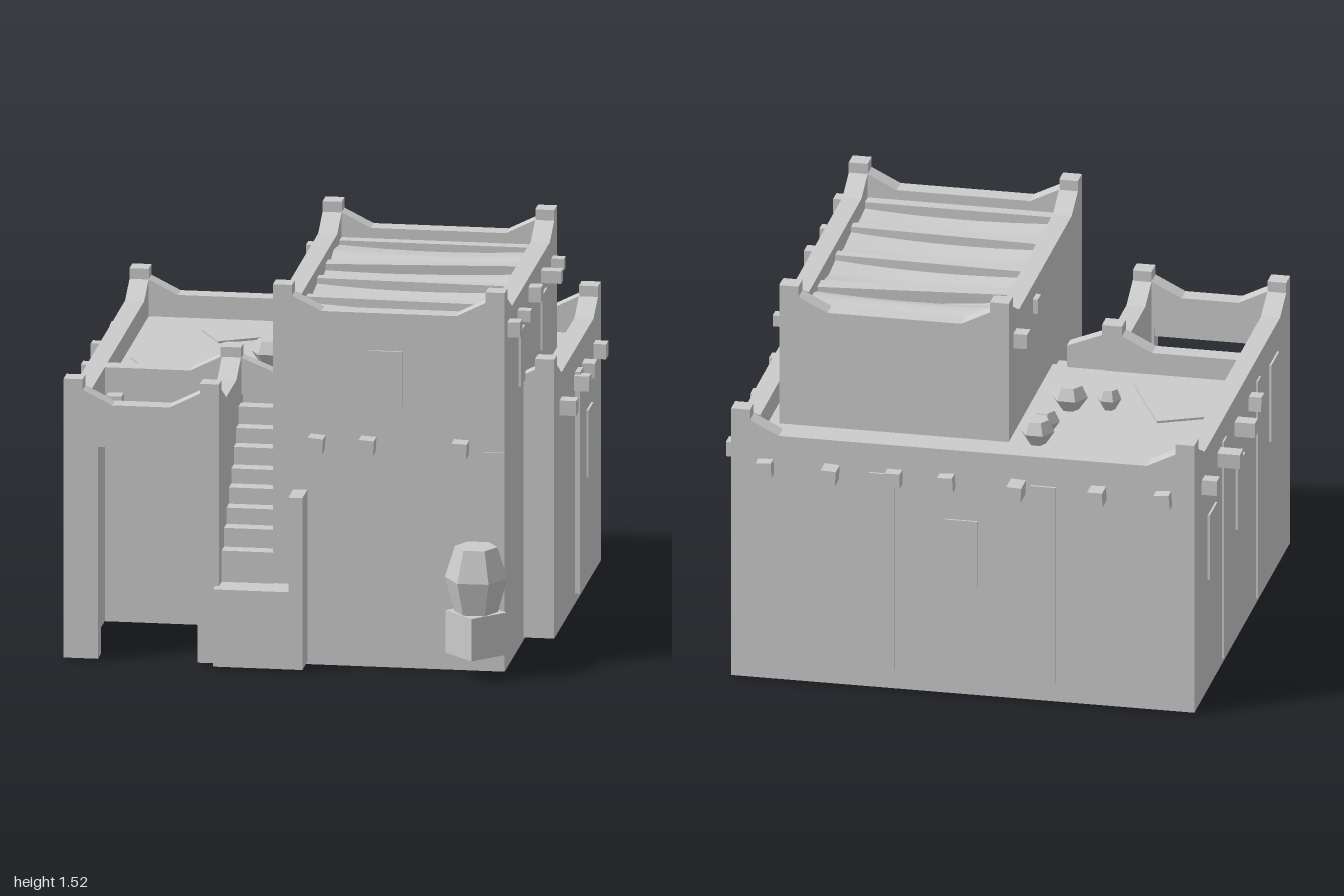
import * as THREE from 'three';

export function createModel() {
  const model = new THREE.Group();
  // Walls are open at the base, so both sides show
  const clay = new THREE.MeshStandardMaterial({ color: 0xcccccc, side: THREE.DoubleSide });
  clay.name = 'pale clay';

  const add = (name, geo) => {
    const mesh = new THREE.Mesh(geo, clay);
    mesh.name = name;
    model.add(mesh);
    return mesh;
  };
  // Box given by its minimum and maximum corners
  const box = (name, x0, y0, z0, x1, y1, z1) => {
    const m = add(name, new THREE.BoxGeometry(x1 - x0, y1 - y0, z1 - z0));
    m.position.set((x0 + x1) / 2, (y0 + y1) / 2, (z0 + z1) / 2);
    return m;
  };
  // Drop the faces resting on the ground, leaving an open base
  const openBase = mesh => {
    const g = mesh.geometry.index ? mesh.geometry.toNonIndexed() : mesh.geometry;
    g.computeBoundingBox();
    const p = g.attributes.position, low = g.boundingBox.min.y + 1e-4, keep = [];
    for (let i = 0; i < p.count; i += 3) {
      if (Math.max(p.getY(i), p.getY(i + 1), p.getY(i + 2)) > low) keep.push(i, i + 1, i + 2);
    }
    g.clearGroups();
    g.setIndex(keep);
    mesh.geometry = g;
  };
  // Sharp facets
  const faceted = geo => {
    const g = geo.toNonIndexed();
    g.computeVertexNormals();
    return g;
  };

  // Wall from a to b along an axis, with horned ends and an optional doorway
  const T = 0.075;
  function wall(name, axis, a, b, outerMax, y0, h, { start = true, door } = {}) {
    const s = new THREE.Shape();
    s.moveTo(a, y0);
    if (door) {
      s.lineTo(door[0], y0); s.lineTo(door[0], door[2]);
      s.lineTo(door[1], door[2]); s.lineTo(door[1], y0);
    }
    s.lineTo(b, y0);
    s.lineTo(b, h + 0.1); s.lineTo(b - 0.07, h + 0.1);
    s.lineTo(b - 0.07, h + 0.06); s.lineTo(b - 0.19, h);
    if (start) {
      s.lineTo(a + 0.19, h); s.lineTo(a + 0.07, h + 0.06);
      s.lineTo(a + 0.07, h + 0.1); s.lineTo(a, h + 0.1);
    } else s.lineTo(a, h);
    const m = add(name, new THREE.ExtrudeGeometry(s, { depth: T, bevelEnabled: false }));
    openBase(m);
    if (axis === 'z') {
      m.rotation.y = -Math.PI / 2;
      m.position.x = outerMax;
    } else m.position.z = outerMax - T;
  }

  // Lower storey and courtyard walls
  const H = 1.04, B = 0.02;
  wall('backWall', 'x', -0.91, 0.93, -0.83, B, H);
  wall('leftWall', 'z', -0.905, 0.87, -0.835, B, H);
  wall('rightWall', 'z', -0.905, 0.3, 0.93, B, H);
  wall('frontRightWall', 'x', 0.7, 0.93, 0.3, B, H, { start: false });
  wall('courtyardBackWall', 'x', -0.84, -0.31, 0.3, B, H, { start: false });
  wall('courtyardFrontWall', 'x', -0.91, -0.305, 0.87, B, H, { door: [-0.775, -0.385, 0.905] });
  wall('stairSideWall', 'z', 0.23, 0.87, -0.3, B, H);
  box('doorLintel', -0.78, 0.87, 0.8, -0.38, 0.906, 0.865);
  box('lowerRoof', -0.85, 0.9, -0.85, 0.87, 0.95, 0.25);
  box('courtyardDoor', -0.75, 0.25, 0.3, -0.44, 0.81, 0.309);
  // Parapet ramp beside the stair head
  const ramp = new THREE.Shape([[-0.31, 0.95], [-0.16, 0.95], [-0.16, 1.04], [-0.31, 1.1]]
    .map(p => new THREE.Vector2(...p)));
  add('stairHeadRamp', new THREE.ExtrudeGeometry(ramp, { depth: 0.06, bevelEnabled: false }))
    .position.z = 0.23;

  // Upper tower
  const U = 1.43;
  wall('towerFrontWall', 'x', -0.1, 0.81, 0.79, 0.01, U);
  wall('towerBackWall', 'x', -0.1, 0.81, -0.49, 0.01, U);
  wall('towerLeftWall', 'z', -0.565, 0.79, -0.025, 0.01, U);
  wall('towerRightWall', 'z', -0.565, 0.79, 0.81, 0.01, U);

  // Roof skin: ridge near the back, then shallow sags between the beams
  const ridge = [[-0.5, 1.355], [-0.28, 1.385], [-0.17, 1.345], [-0.1, 1.36], [0, 1.345],
    [0.13, 1.36], [0.28, 1.345], [0.42, 1.36], [0.56, 1.345], [0.73, 1.36]];
  const skinHeight = z => {
    const i = Math.max(1, ridge.findIndex(r => r[0] >= z - 1e-6));
    const [z0, y0] = ridge[i - 1], [z1, y1] = ridge[i];
    return THREE.MathUtils.lerp(y0, y1, (z - z0) / (z1 - z0));
  };
  const skin = new THREE.BoxGeometry(0.79, 0.02, 1.23, 8, 1, 41);
  const sp = skin.attributes.position;
  for (let k = 0; k < sp.count; k++) {
    const u = sp.getX(k) / 0.395, z = Math.min(sp.getZ(k) + 0.115, 0.73);
    sp.setXYZ(k, sp.getX(k) + 0.355, sp.getY(k) + skinHeight(z) - 0.015 * (1 - u * u), z);
  }
  skin.computeVertexNormals();
  add('towerRoof', skin);
  [[-0.46, 0, 0.05], [-0.145, 0.1, 0.07], [0.13, -0.02, 0.045], [0.42, -0.03, 0.045], [0.69, 0, 0.05]]
    .forEach(([z, turn, w]) => {
      box('roofBeam', -0.03, 1.33, z - w / 2, 0.74, 1.39, z + w / 2).rotation.y = turn;
    });

  // Stairs with front landing and end post
  [0.455, 0.53, 0.595, 0.66, 0.72, 0.79, 0.85, 0.92].forEach((y, i) => {
    const z = 0.8 - i * 0.0625;
    openBase(box('stairStep', -0.305, B, z - 0.0625, -0.095, y, z));
  });
  openBase(box('stairLanding', -0.315, B, 0.79, -0.02, 0.33, 0.92));
  openBase(box('stairPost', -0.02, B, 0.78, 0.035, 0.71, 0.92));

  // Projecting roof poles: [position along wall, length]
  const S = 0.03;
  const poleTurn = n => ((n * 37) % 11 - 5) * 0.015;
  [[-0.79, 0.05], [-0.53, 0.075], [-0.21, 0.09], [0.07, 0.05], [0.28, 0.05], [0.53, 0.075], [0.79, 0.05]]
    .forEach(([x, l], i) => {
      box('backPole', x - S, 0.88, -0.905 - l, x + S, 0.94, -0.87).rotation.z = poleTurn(i);
    });
  [[-0.74, 0.06], [-0.45, 0.09], [-0.13, 0.08], [0.13, 0.05]].forEach(([z, l], i) => {
    box('leftPole', -0.91 - l, 0.88, z - S, -0.87, 0.94, z + S).rotation.x = poleTurn(i + 2);
  });
  [[-0.74, 0.05], [-0.45, 0.05], [-0.24, 0.06], [0.13, 0.065]].forEach(([z, l], i) => {
    box('rightPole', 0.89, 0.88, z - S, 0.93 + l, 0.94, z + S).rotation.x = poleTurn(i + 4);
  });
  [0.075, 0.275, 0.64].forEach((x, i) => {
    box('towerFrontPole', x - S, 0.875, 0.75, x + S, 0.935, 0.86).rotation.z = poleTurn(i * 3);
  });
  // Tower side poles: [z, length, half size, height]
  [[0.69, 0.05, 0.03, 1.365], [0.43, 0.05, 0.023, 1.35], [0.15, 0.05, 0.03, 1.365],
    [-0.17, 0.08, 0.025, 1.352], [-0.435, 0.05, 0.023, 1.333]].forEach(([z, l, s, y]) => {
    box('towerRightPole', 0.77, y - s, z - s, 0.81 + l, y + s, z + s);
  });
  [[-0.45, 0.055], [-0.09, 0.02]].forEach(([z, l]) => {
    box('towerLeftPole', -0.1 - l, 1.31, z - S, -0.06, 1.37, z + S);
  });
  [[-0.79, 0.36], [-0.43, 0.33]].forEach(([x, z]) => {
    box('courtyardPole', x - S, 0.88, 0.26, x + S, 0.94, z);
  });

  // Thin window panels
  const panelX = (name, x, z0, z1, y0, y1) => box(name, x - 0.0045, y0, z0, x + 0.0045, y1, z1);
  const panelZ = (name, z, x0, x1, y0, y1) => box(name, x0, y0, z - 0.0045, x1, y1, z + 0.0045);
  panelX('leftWindow', -0.914, -0.66, -0.52, 0.48, 0.75);
  panelX('leftWindow', -0.914, -0.14, 0, 0.48, 0.75);
  panelX('leftCourtWindow', -0.914, 0.48, 0.63, 0.6, 0.92);
  panelX('rightWindow', 0.934, -0.66, -0.53, 0.45, 0.72);
  panelX('towerWindow', 0.814, -0.26, -0.13, 1.06, 1.28);
  panelX('towerWindow', 0.814, 0.31, 0.43, 1.06, 1.28);
  panelZ('towerFrontWindow', 0.794, 0.28, 0.41, 1.06, 1.28);
  panelZ('backWindow', -0.909, -0.05, 0.08, 0.47, 0.75);
  // Plaster strips
  box('rightStrip', 0.92, 0.06, -0.32, 0.95, 0.95, -0.24);
  box('frontStrip', 0.725, 0.02, 0.78, 0.81, 0.89, 0.797);
  [-0.31, 0.33].forEach(x => box('backStrip', x - 0.05, 0.1, -0.915, x + 0.05, 0.92, -0.9));
  [-0.36, 0.27].forEach(z => box('leftStrip', -0.917, 0.04, z - 0.03, -0.9, 0.95, z + 0.03));

  // Faceted jars
  function jar(name, x, y, z, r, h, base, turn) {
    const pts = [[0, 0], [base, 0], [1, 0.52], [0.68, 1], [0, 1]]
      .map(([a, b]) => new THREE.Vector2(a * r, b * h));
    const m = add(name, faceted(new THREE.LatheGeometry(pts, 6)));
    m.position.set(x, y, z);
    m.rotation.y = turn;
  }
  jar('largeJar', 0.71, 0.27, 0.87, 0.122, 0.26, 0.7, 0.56);
  jar('roofJar', -0.21, 0.95, -0.55, 0.068, 0.1, 0.5, 0.52);
  jar('roofJar', -0.21, 0.95, -0.43, 0.064, 0.09, 0.5, 0.52);
  jar('roofJar', -0.26, 0.95, -0.18, 0.072, 0.1, 0.5, 0.5);
  jar('roofJar', -0.41, 0.95, -0.15, 0.048, 0.085, 0.5, 0.52);
  add('jarStand', faceted(new THREE.CylinderGeometry(0.12, 0.12, 0.17, 4)))
    .position.set(0.71, 0.185, 0.872);

  // Mats on the lower roof
  [[-0.38, -0.64, 0.49], [-0.63, -0.04, -1.13]].forEach(([x, z, turn]) => {
    const m = add('roofMat', new THREE.BoxGeometry(0.39, 0.009, 0.2));
    m.position.set(x, 0.955, z);
    m.rotation.y = turn;
  });

  return model;
}
